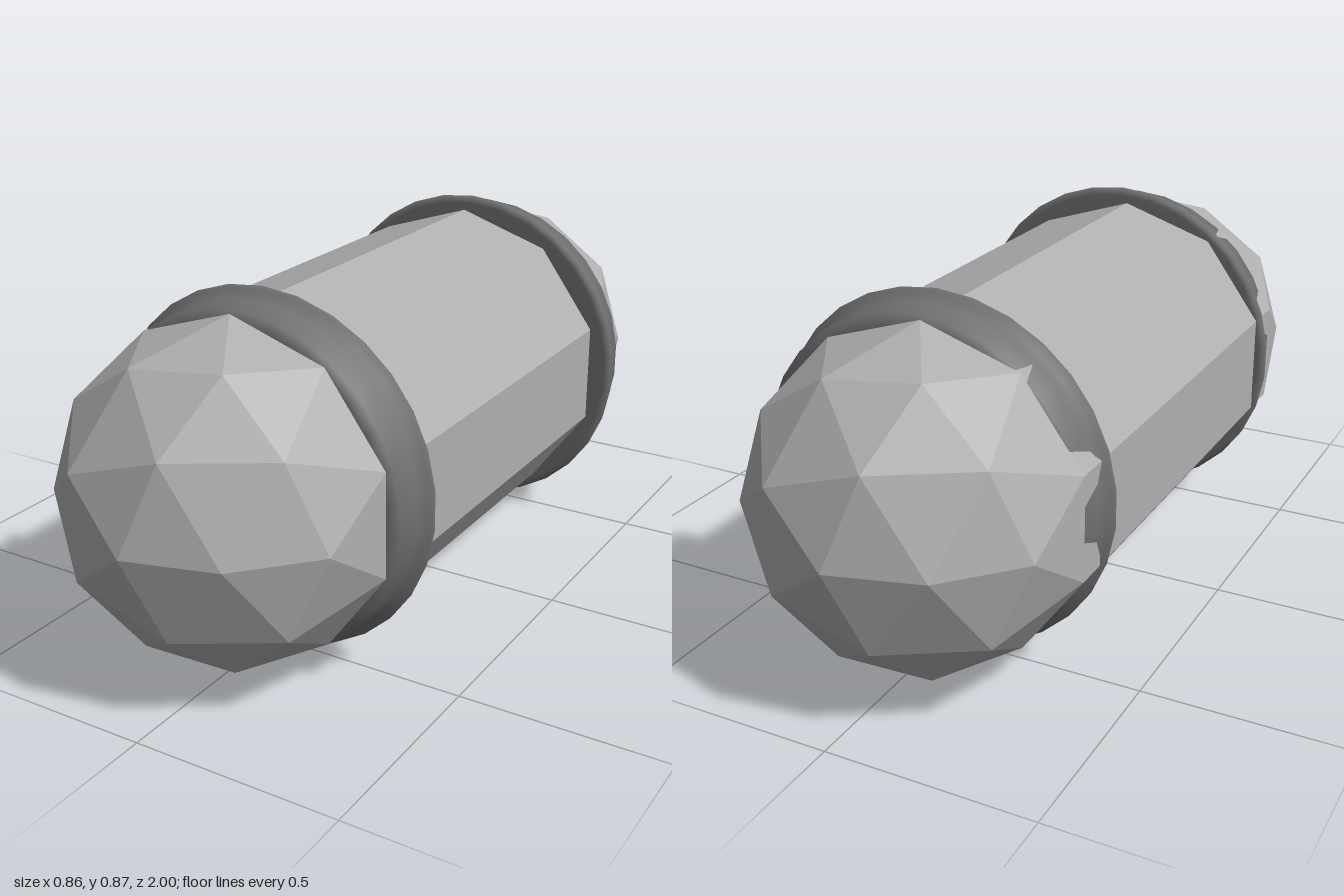
import * as THREE from 'three';

const SHELL_R = 0.405, HALF = 0.595;

// Half of a subdivided icosahedron with one corner on the z axis, moved to its end of the body
function capGeometry(sign) {
  const ball = new THREE.IcosahedronGeometry(SHELL_R, 1);
  ball.rotateX(Math.atan(2 / (1 + Math.sqrt(5))));
  ball.rotateZ(Math.PI / 2);
  const p = ball.attributes.position, kept = [];
  for (let i = 0; i < p.count; i += 3) {
    const middle = p.getZ(i) + p.getZ(i + 1) + p.getZ(i + 2);
    if (middle * sign < 0) continue;
    for (let k = i; k < i + 3; k++) kept.push(p.getX(k), p.getY(k), p.getZ(k) + sign * HALF);
  }
  const geometry = new THREE.BufferGeometry();
  geometry.setAttribute('position', new THREE.Float32BufferAttribute(kept, 3));
  geometry.computeVertexNormals();
  return geometry;
}

// Sleeve with a rounded bead on its inner end
function collarGeometry() {
  const profile = [
    [0.36, 0.485], [0.415, 0.485], [0.428, 0.487], [0.434, 0.497], [0.43, 0.507],
    [0.418, 0.513], [0.41, 0.53], [0.404, 0.596], [0.36, 0.596],
  ].map(([r, z]) => new THREE.Vector2(r, z));
  return new THREE.LatheGeometry(profile, 30).rotateX(Math.PI / 2);
}

export function createModel() {
  const group = new THREE.Group();
  const shell = new THREE.MeshStandardMaterial({ color: 0xb0b0b0, flatShading: true });
  shell.name = 'light grey';
  const trim = new THREE.MeshStandardMaterial({ color: 0x727272 });
  trim.name = 'dark grey';

  const add = (name, geometry, material, x, y) => {
    const mesh = new THREE.Mesh(geometry, material);
    mesh.name = name;
    mesh.position.set(x, y, 0);
    group.add(mesh);
    return mesh;
  };

  // Ten-sided body, slightly off the collar axis
  const tube = new THREE.CylinderGeometry(SHELL_R, SHELL_R, HALF * 2, 10, 1, true).rotateX(Math.PI / 2);
  add('body', tube, shell, -0.017, 0.424);

  // Faceted ends and their collars
  for (const [end, sign] of [['front', 1], ['back', -1]]) {
    add(end + 'Cap', capGeometry(sign), shell, -0.017, 0.424);
    const collar = add(end + 'Collar', collarGeometry(), trim, 0, 0.434);
    if (sign < 0) collar.rotation.y = Math.PI;
  }
  return group;
}
